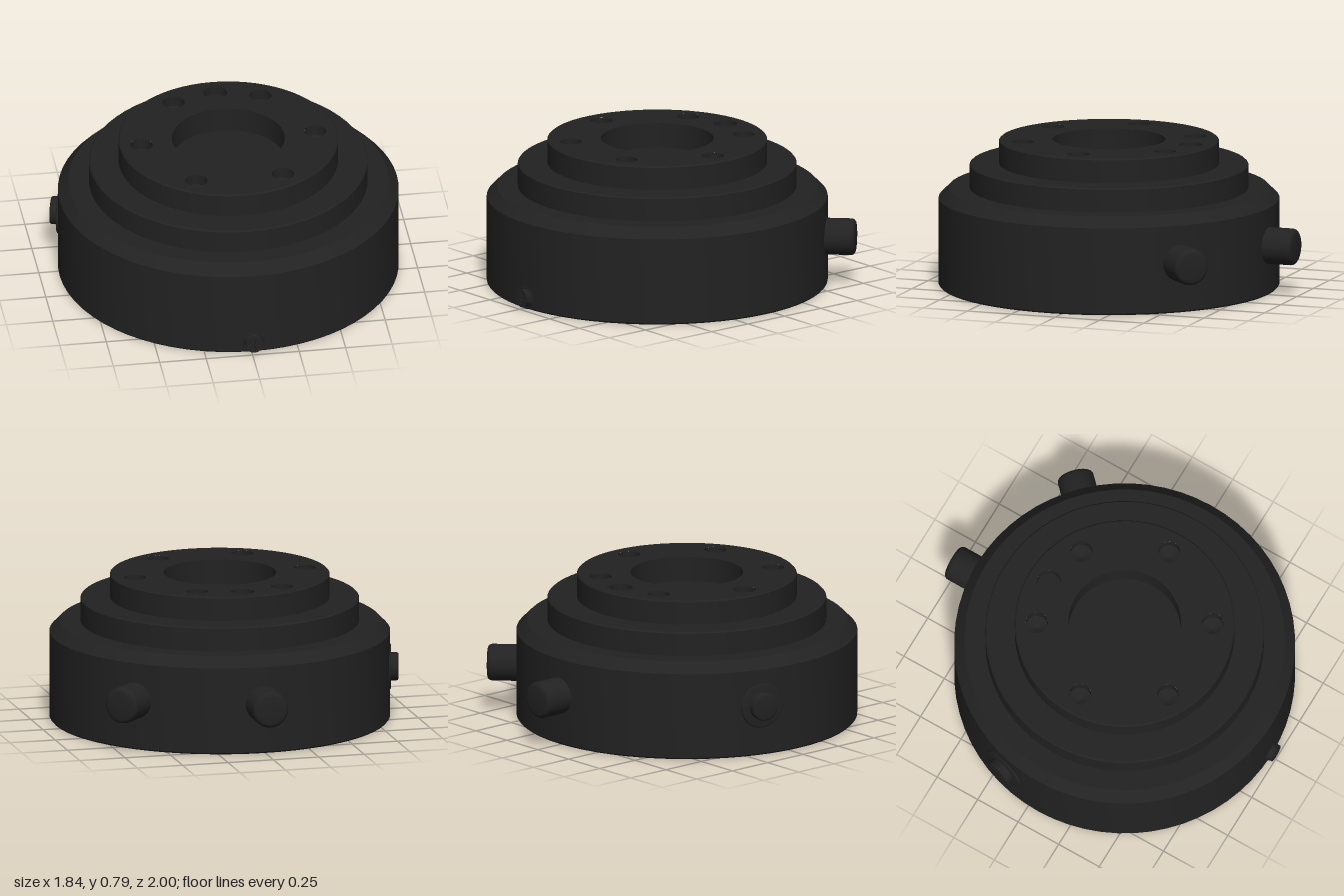
import * as THREE from 'three';
import { toCreasedNormals } from 'three/addons/utils/BufferGeometryUtils.js';

const black = new THREE.MeshStandardMaterial({ color: 0x222222 });

function mesh(name, geometry) {
  const m = new THREE.Mesh(toCreasedNormals(geometry, 0.45), black);
  m.name = name;
  return m;
}

// Turned part from [radius, height] pairs
function turned(name, points, segments = 32) {
  return mesh(name, new THREE.LatheGeometry(points.map(([r, h]) => new THREE.Vector2(r, h)), segments));
}

function circle(Type, x, y, r) {
  return new Type().absarc(x, y, r, 0, Math.PI * 2, false);
}

// Turned stub with a rounded rim, its axis along +z
function stub(name, r, start, end, round) {
  const points = [[r, start]];
  for (let i = 0; i <= 4; i++) {
    const a = (i / 4) * Math.PI / 2;
    points.push([r - round + round * Math.cos(a), end - round + round * Math.sin(a)]);
  }
  points.push([0, end]);
  const m = turned(name, points);
  m.rotation.x = Math.PI / 2;
  return m;
}

// Group on the side wall whose local +z points outward at the given angle
function onWall(name, degrees, y, ...parts) {
  const g = new THREE.Group();
  g.name = name;
  g.rotation.y = THREE.MathUtils.degToRad(degrees);
  g.position.y = y;
  g.add(...parts);
  return g;
}

export function createModel() {
  const model = new THREE.Group();
  model.position.set(0.01, 0, 0.0625);

  // Stepped housing with a shallow recess underneath
  model.add(turned('housing', [
    [0, 0.1], [0.872, 0.1], [0.872, 0], [0.9, 0], [0.907, 0.008],
    [0.907, 0.47], [0.852, 0.525], [0.742, 0.525],
    [0.742, 0.648], [0.735, 0.655], [0.585, 0.655],
    [0.585, 0.778], [0.578, 0.785],
  ], 64));

  // Top face, pierced by the bore, six bolt holes and a locating hole
  const top = 0.785;
  const holes = [{ name: 'centreBore', x: 0, y: 0, r: 0.3, depth: 0.135, tip: 0 }];
  for (let i = 0; i < 6; i++) {
    const a = i * Math.PI / 3;
    holes.push({ name: 'boltHole', x: 0.467 * Math.cos(a), y: 0.467 * Math.sin(a), r: 0.059, depth: 0.06, tip: 0.03 });
  }
  holes.push({ name: 'locatingHole', x: 0, y: 0.467, r: 0.063, depth: 0.05, tip: 0 });

  const face = circle(THREE.Shape, 0, 0, 0.578);
  for (const h of holes) {
    face.holes.push(circle(THREE.Path, h.x, h.y, h.r));
    const wall = turned(h.name, [[h.r, 0], [h.r, -h.depth], [0, -h.depth - h.tip]], h.r > 0.1 ? 64 : 32);
    wall.position.set(h.x, top, -h.y);
    model.add(wall);
  }
  const plate = mesh('topFace', new THREE.ShapeGeometry(face, 32));
  plate.rotation.x = -Math.PI / 2;
  plate.position.y = top;
  model.add(plate);

  // Two side connectors
  model.add(
    onWall('backConnector', 180, 0.268, stub('connectorBody', 0.098, 0.8, 1.062, 0.025)),
    onWall('angledConnector', 135, 0.268, stub('connectorBody', 0.098, 0.8, 1.062, 0.025)),
  );

  // Push button in a flat collar
  model.add(onWall('button', -105, 0.272,
    stub('buttonCollar', 0.122, 0.85, 0.911, 0.008),
    stub('buttonCap', 0.075, 0.85, 0.951, 0.012)));

  // Cross-slot screw through the front wall
  const head = circle(THREE.Shape, 0, 0, 0.048);
  const w = 0.007, l = 0.03;
  head.holes.push(new THREE.Path([
    [w, w], [w, l], [-w, l], [-w, w], [-l, w], [-l, -w],
    [-w, -w], [-w, -l], [w, -l], [w, -w], [l, -w], [l, w],
  ].map(([x, y]) => new THREE.Vector2(x, y))));
  const cap = mesh('screwHead', new THREE.ExtrudeGeometry(head, { depth: 0.015, bevelEnabled: false, curveSegments: 16 }));
  cap.position.z = 0.92;
  const seat = mesh('screwSeat', new THREE.TorusGeometry(0.056, 0.005, 8, 32));
  seat.position.z = 0.905;
  model.add(onWall('screw', 0, 0.06, cap, seat,
    stub('screwCollar', 0.05, 0.88, 0.922, 0.004),
    stub('screwShaft', 0.026, 0.74, 0.9, 0.004)));
  const tip = mesh('screwTip', new THREE.CircleGeometry(0.026, 32));
  tip.rotation.y = Math.PI;
  tip.position.set(0, 0.06, 0.74);
  model.add(tip);

  const root = new THREE.Group();
  root.name = 'sensorHousing';
  root.add(model);
  return root;
}
